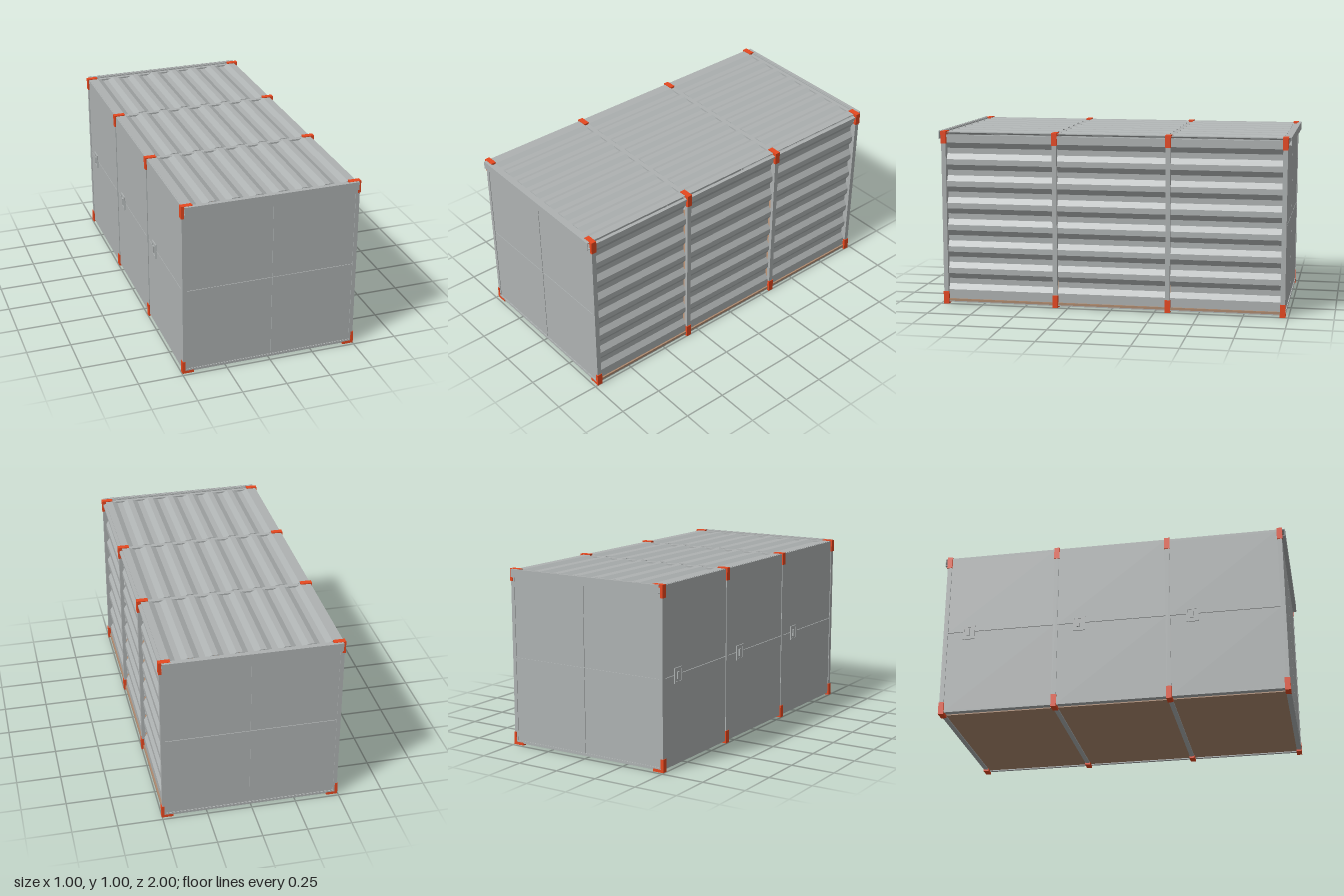
import * as THREE from 'three';

const mat = (name, color) => {
  const m = new THREE.MeshStandardMaterial({ color });
  m.name = name;
  return m;
};

export function createModel() {
  const grey = mat('greySteel', 0xaeb2b2);
  const orange = mat('orangeBracket', 0xe8481f);
  const brown = mat('brownFloor', 0xae8a6f);

  const model = new THREE.Group();
  model.name = 'storageContainer';
  const body = new THREE.Group();
  body.name = 'containerBody';
  body.position.x = 0.0025; // makes room for the latches on the flat wall
  model.add(body);

  // Box given by its minimum and maximum on each axis
  const box = (name, m, [x0, x1], [y0, y1], [z0, z1], parent = body) => {
    const g = new THREE.BoxGeometry(x1 - x0, y1 - y0, z1 - z0);
    g.translate((x0 + x1) / 2, (y0 + y1) / 2, (z0 + z1) / 2);
    const mesh = new THREE.Mesh(g, m);
    mesh.name = name;
    parent.add(mesh);
  };

  // Closed outline of a thin trapezoidal sheet: pairs of [along, depth].
  // fall is the centre of the first slope that drops as "along" increases.
  const corrugation = (start, end, fall, period, depth, thick) => {
    const q = period / 4;
    const line = [[start, 0]];
    for (let c = fall; c < end; c += period) {
      const wave = [[c - q / 2, 0], [c + q / 2, -depth], [c + q * 1.5, -depth], [c + q * 2.5, 0]];
      line.push(...wave.filter(([u]) => u < end));
    }
    line.push([end, line[line.length - 1][1]]);
    return [...line, ...line.map(([u, d]) => [u, d - thick]).reverse()];
  };
  const sheet = (name, points, z0, z1) => {
    const shape = new THREE.Shape(points.map(([x, y]) => new THREE.Vector2(x, y)));
    const g = new THREE.ExtrudeGeometry(shape, { depth: z1 - z0, bevelEnabled: false });
    g.translate(0, 0, z0);
    const mesh = new THREE.Mesh(g, grey);
    mesh.name = name;
    body.add(mesh);
  };

  const frames = [-0.968, -0.323, 0.323, 0.968];
  const wallWave = corrugation(0.02, 0.968, 0.078, 0.1262, 0.02, 0.004);
  const roofWave = corrugation(-0.485, 0.478, -0.418, 0.129, 0.014, 0.004);

  // Three bays: roof, corrugated wall, flat wall in two leaves with a latch
  for (let i = 0; i < 3; i++) {
    const z0 = frames[i] + 0.012, z1 = frames[i + 1] - 0.012;
    sheet('roofSheet', roofWave.map(([u, d]) => [u, 0.995 + d]), z0, z1);
    // Measured down from the top, so downward-facing slopes recede
    sheet('corrugatedWall', wallWave.map(([u, d]) => [0.481 + d, 0.996 - u]), z0, z1);
    box('lowerLeaf', grey, [-0.492, -0.484], [0.015, 0.501], [z0, z1]);
    box('upperLeaf', grey, [-0.492, -0.484], [0.505, 0.99], [z0, z1]);
    box('leafBacking', grey, [-0.486, -0.482], [0.49, 0.516], [z0, z1]);

    const latch = new THREE.Group();
    latch.name = 'latch';
    latch.position.z = frames[i] + 0.138;
    body.add(latch);
    // Raised rim around a recess with a small handle
    box('latchRim', grey, [-0.498, -0.491], [0.455, 0.465], [-0.035, 0.035], latch);
    box('latchRim', grey, [-0.498, -0.491], [0.53, 0.54], [-0.035, 0.035], latch);
    box('latchRim', grey, [-0.498, -0.491], [0.465, 0.53], [-0.035, -0.025], latch);
    box('latchRim', grey, [-0.498, -0.491], [0.465, 0.53], [0.025, 0.035], latch);
    box('latchPlate', grey, [-0.495, -0.491], [0.465, 0.53], [-0.025, 0.025], latch);
    box('latchHandle', grey, [-0.5025, -0.494], [0.478, 0.518], [-0.012, 0.006], latch);
  }

  // Frames: posts, cross beams and angle brackets at the four corners
  for (const z of frames) {
    const span = [z - 0.013, z + 0.013], wide = [z - 0.0155, z + 0.0155];
    box('roofBeam', grey, [-0.485, 0.485], [0.97, 0.99], span);
    box('floorBeam', grey, [-0.485, 0.485], [0.01, 0.026], span);
    for (const s of [-1, 1]) {
      const across = (a, b) => (s > 0 ? [a, b] : [-b, -a]);
      box('post', grey, across(0.474, 0.496), [0.012, 0.99], span);
      box('bracketUpright', orange, across(0.484, 0.5), [0, 0.072], wide);
      box('bracketFoot', orange, across(0.436, 0.5), [0, 0.016], wide);
      box('bracketUpright', orange, across(0.484, 0.5), [0.93, 1], wide);
      box('bracketTop', orange, across(0.436, 0.5), [0.984, 1], wide);
    }
  }

  // Floor, side sills and top rails; the floor edge shows below the ribbed wall
  box('floor', brown, [-0.435, 0.49], [0.016, 0.029], [-0.955, 0.955]);
  box('sillStrip', grey, [-0.488, -0.435], [0.022, 0.028], [-0.955, 0.955]);
  box('sill', grey, [0.474, 0.49], [0.01, 0.016], [-0.955, 0.955]);
  box('sill', grey, [-0.492, -0.482], [0.012, 0.022], [-0.955, 0.955]);
  box('topRail', grey, [0.474, 0.494], [0.968, 0.98], [-0.968, 0.968]);
  box('topRail', grey, [-0.492, -0.478], [0.98, 0.994], [-0.968, 0.968]);

  // Ends: four panels with narrow gaps under an open channel header
  for (const s of [-1, 1]) {
    const deep = (a, b) => (s > 0 ? [a, b] : [-b, -a]);
    const end = new THREE.Group();
    end.name = s > 0 ? 'frontEnd' : 'backEnd';
    body.add(end);
    for (const xs of [[-0.48, 0.0055], [0.0095, 0.484]]) {
      for (const ys of [[0.025, 0.501], [0.505, 0.965]]) {
        box('endPanel', grey, xs, ys, deep(0.968, 0.978), end);
      }
    }
    // Thin strips close the gaps halfway through the panels
    box('uprightSeam', grey, [0.005, 0.01], [0.025, 0.965], deep(0.972, 0.974), end);
    box('levelSeam', grey, [-0.48, 0.484], [0.5, 0.506], deep(0.972, 0.974), end);
    box('endSill', grey, [-0.485, 0.485], [0.012, 0.024], deep(0.955, 0.983), end);
    box('headerFace', grey, [-0.484, 0.484], [0.955, 1], deep(0.997, 1), end);
    box('headerTop', grey, [-0.484, 0.484], [0.996, 0.999], deep(0.983, 0.998), end);
    box('headerLip', grey, [-0.484, 0.484], [0.955, 0.958], deep(0.977, 0.998), end);
    box('headerBack', grey, [-0.484, 0.484], [0.957, 0.996], deep(0.977, 0.983), end);
  }
  return model;
}
